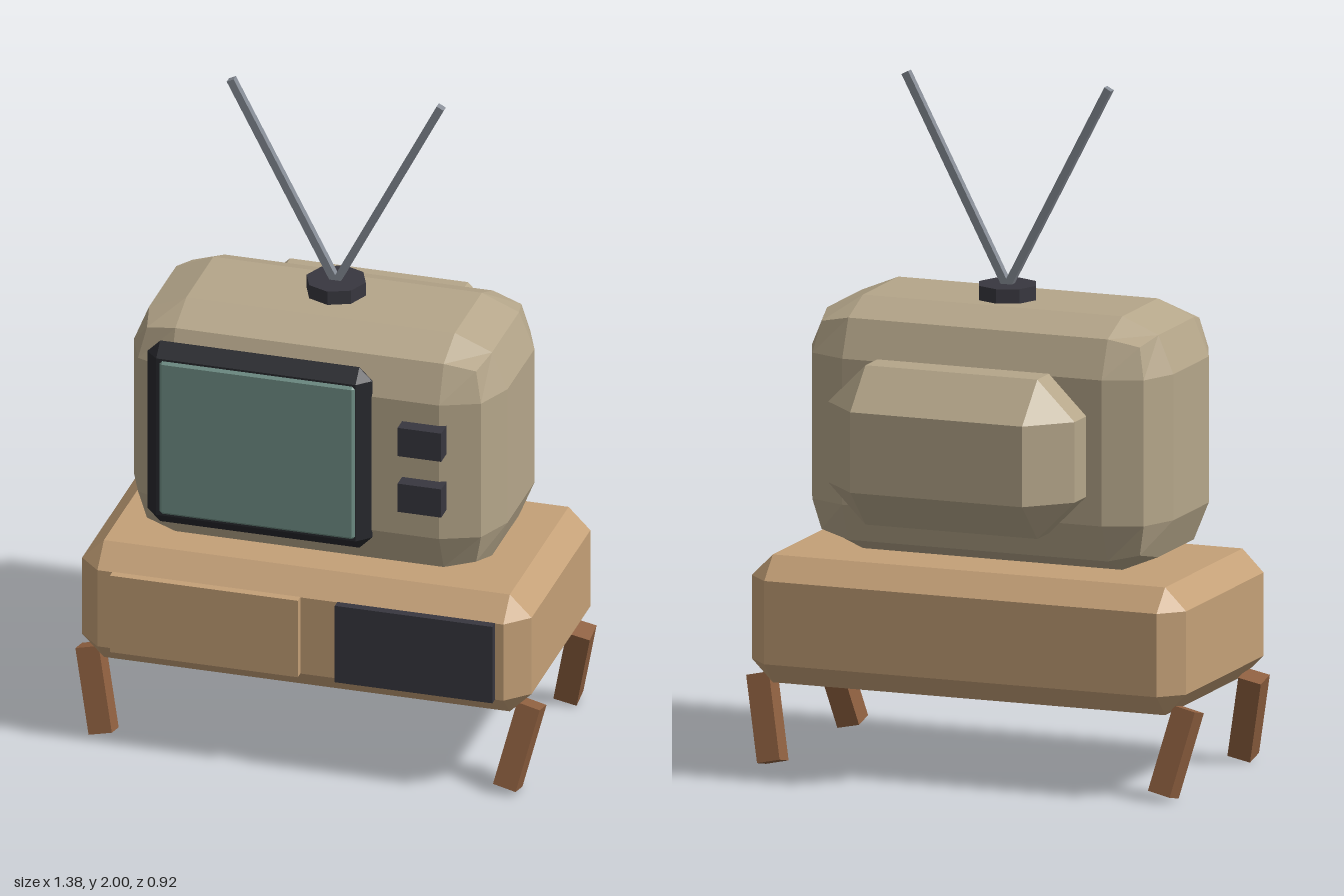
import * as THREE from 'three';
import { RoundedBoxGeometry } from 'three/addons/geometries/RoundedBoxGeometry.js';
import { ConvexGeometry } from 'three/addons/geometries/ConvexGeometry.js';

const paint = (name, color) => {
  const m = new THREE.MeshStandardMaterial({ color });
  m.name = name;
  return m;
};

// Box with a single 45 degree bevel on every edge
function bevelBox(w, h, d, c) {
  const half = [w / 2, h / 2, d / 2];
  const points = [];
  for (const sx of [-1, 1]) for (const sy of [-1, 1]) for (const sz of [-1, 1]) {
    for (let full = 0; full < 3; full++) {
      const p = [sx, sy, sz].map((s, i) => s * (half[i] - (i === full ? 0 : c)));
      points.push(new THREE.Vector3(...p));
    }
  }
  return new ConvexGeometry(points);
}

// Faceted normals
function faceted(geometry) {
  const g = geometry.index ? geometry.toNonIndexed() : geometry;
  g.computeVertexNormals();
  return g;
}

export function createModel() {
  const model = new THREE.Group();
  model.name = 'televisionOnStand';

  const shell = paint('beige shell', 0xb5a68a);
  const wood = paint('light wood', 0xc4a077);
  const legWood = paint('dark wood', 0x8f6040);
  const dark = paint('charcoal', 0x38373f);
  const bezel = paint('black bezel', 0x27282d);
  const glass = paint('screen green', 0x6f8f86);
  const metal = paint('antenna grey', 0x878d96);

  const add = (name, geometry, material, x, y, z) => {
    const mesh = new THREE.Mesh(geometry, material);
    mesh.name = name;
    mesh.position.set(x, y, z);
    model.add(mesh);
    return mesh;
  };
  // Places a shape from its minimum and maximum corners
  const span = (name, material, a, b, bevel = 0) => {
    const s = a.map((v, i) => b[i] - v);
    const g = bevel ? bevelBox(...s, bevel) : new THREE.BoxGeometry(...s);
    return add(name, g, material, ...a.map((v, i) => (v + b[i]) / 2));
  };

  // Cabinet and its two front panels
  span('cabinet', wood, [-0.67, 0.247, -0.282], [0.67, 0.62, 0.432], 0.065);
  span('cabinetDoor', wood, [-0.56, 0.312, 0.41], [0, 0.556, 0.457]);
  span('cabinetOpening', dark, [0.11, 0.312, 0.41], [0.58, 0.556, 0.457]);

  // Legs, leaning inward in x and outward in z
  const legGeometry = new THREE.BoxGeometry(0.07, 0.255, 0.07);
  for (const sx of [-1, 1]) for (const sz of [-1, 1]) {
    const leg = add(sz > 0 ? 'frontLeg' : 'backLeg', legGeometry, legWood,
      sx * 0.63, 0.138, sz > 0 ? 0.352 : -0.197);
    leg.rotation.set(-sz * 0.22, 0, -sx * 0.22);
  }

  // Television body and the tube housing behind it
  add('televisionBody', faceted(new RoundedBoxGeometry(1.114, 0.74, 0.582, 1, 0.157)),
    shell, 0, 0.99, 0.096);
  span('tubeHousing', shell, [-0.38, 0.76, -0.465], [0.38, 1.225, -0.147], 0.115);

  // Screen
  span('screenFrame', bezel, [-0.47, 0.715, 0.345], [0.2, 1.29, 0.424], 0.038);
  span('screen', glass, [-0.424, 0.757, 0.39], [0.162, 1.248, 0.432], 0.01);

  // Knobs
  for (const y of [0.915, 1.093]) {
    span('knob', dark, [0.29, y - 0.045, 0.36], [0.42, y + 0.045, 0.432]);
  }

  // Antenna
  add('antennaBase', faceted(new THREE.CylinderGeometry(0.088, 0.088, 0.05, 8)),
    dark, 0, 1.377, 0.075);
  const tilt = Math.atan2(0.312, 0.6);
  const rodGeometry = new THREE.BoxGeometry(0.023, 0.68, 0.023);
  for (const s of [-1, 1]) {
    const rod = add('antennaRod', rodGeometry, metal, s * 0.156, 1.693, 0.075);
    rod.rotation.z = -s * tilt;
  }

  return model;
}
